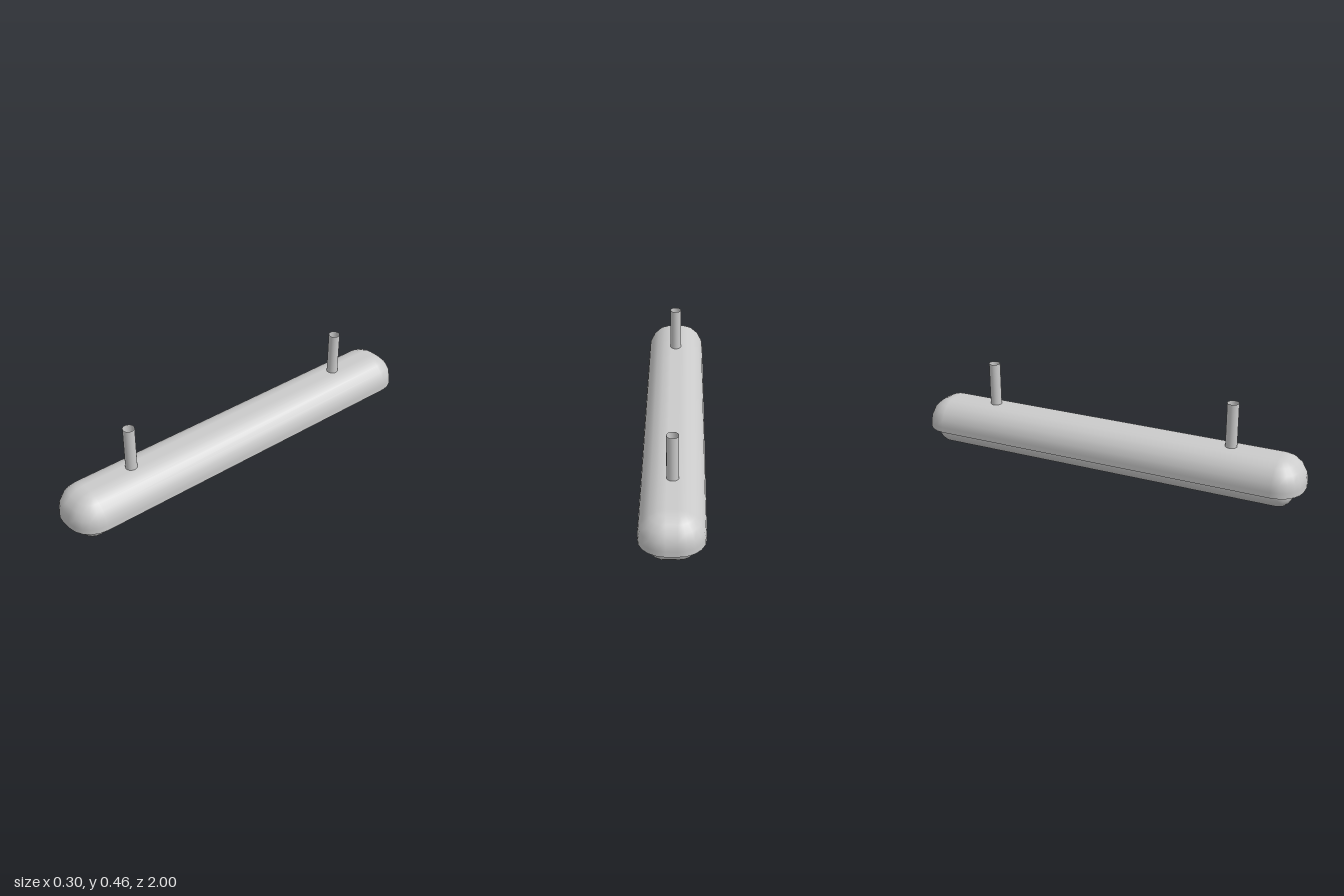
import * as THREE from 'three';

const SEG = 5; // facets per quarter round

// Half of a rounded bar: straight wall from yRim to yArc, then a quarter round
// up (dir = 1) or down (dir = -1) to a flat face. The rim is closed by a flat cap.
function roundedHalf(halfX, halfZ, r, yRim, yArc, dir) {
  const pos = [], nor = [], idx = [];
  const add = (x, y, z, nx, ny, nz) => pos.push(x, y, z) && nor.push(nx, ny, nz);
  const tri = (a, b, c) => (dir > 0 ? idx.push(a, b, c) : idx.push(a, c, b));
  const ring = (y, a) => {
    const ca = Math.cos(a), sa = Math.sin(a) * dir;
    for (let q = 0; q < 4; q++) {
      const cx = (q === 0 || q === 3 ? 1 : -1) * (halfX - r);
      const cz = (q < 2 ? 1 : -1) * (halfZ - r);
      for (let i = 0; i <= SEG; i++) {
        const t = (q + i / SEG) * Math.PI / 2;
        const nx = ca * Math.cos(t), nz = ca * Math.sin(t);
        add(cx + r * nx, y, cz + r * nz, nx, sa, nz);
      }
    }
  };
  const n = 4 * (SEG + 1);
  ring(yRim, 0);
  for (let k = 0; k <= SEG; k++) {
    const a = k / SEG * Math.PI / 2;
    ring(yArc + dir * r * Math.sin(a), a);
  }
  for (let k = 0; k <= SEG; k++) {
    for (let i = 0; i < n; i++) {
      const a = k * n + i, b = k * n + (i + 1) % n;
      tri(a, a + n, b);
      tri(b, a + n, b + n);
    }
  }
  // flat outer face, a fan over the last ring
  const last = (SEG + 1) * n;
  const top = pos.length / 3;
  add(0, yArc + dir * r, 0, 0, dir, 0);
  for (let i = 0; i < n; i++) tri(top, last + (i + 1) % n, last + i);
  // rim cap, with its own vertices for a sharp edge
  const cap = pos.length / 3;
  add(0, yRim, 0, 0, -dir, 0);
  for (let i = 0; i < n; i++) add(pos[i * 3], yRim, pos[i * 3 + 2], 0, -dir, 0);
  for (let i = 0; i < n; i++) tri(cap, cap + 1 + i, cap + 1 + (i + 1) % n);

  const g = new THREE.BufferGeometry();
  g.setAttribute('position', new THREE.Float32BufferAttribute(pos, 3));
  g.setAttribute('normal', new THREE.Float32BufferAttribute(nor, 3));
  g.setIndex(idx);
  return g;
}

export function createModel() {
  const group = new THREE.Group();
  group.name = 'pendantLight';
  const grey = new THREE.MeshStandardMaterial({ color: 0xcccccc });
  const open = new THREE.MeshStandardMaterial({ color: 0xcccccc, side: THREE.DoubleSide });
  const add = (name, geometry, material) => {
    const mesh = new THREE.Mesh(geometry, material);
    mesh.name = name;
    group.add(mesh);
    return mesh;
  };

  // housing above, narrower diffuser below
  add('housing', roundedHalf(0.149, 1, 0.124, 0.087, 0.114, 1), grey);
  add('diffuser', roundedHalf(0.108, 0.957, 0.074, 0.087, 0.074, -1), grey);

  // open hanging tubes
  const tube = new THREE.CylinderGeometry(0.028, 0.028, 0.221, 20, 1, true);
  for (const [name, side] of [['frontTube', 1], ['backTube', -1]]) {
    add(name, tube, open).position.set(0, 0.3455, side * 0.635);
  }
  return group;
}
